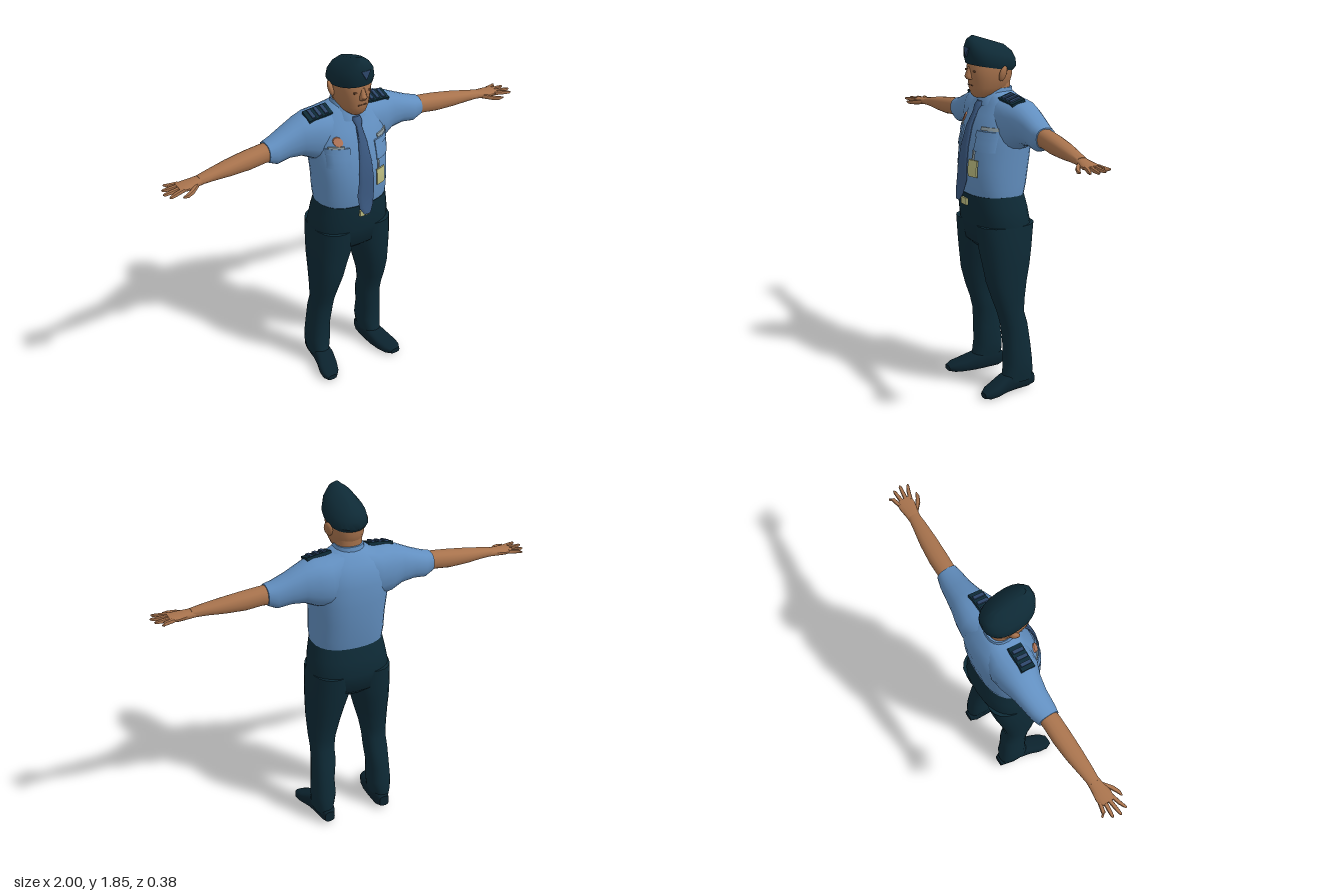
import * as THREE from 'three';
import { toCreasedNormals } from 'three/addons/utils/BufferGeometryUtils.js';

const material = (name, color) => Object.assign(new THREE.MeshStandardMaterial({ color }), { name });
const shirtBlue = material('shirt blue', 0x628fc0);
const navy = material('trouser navy', 0x0e2a36);
const shoeDark = material('shoe dark', 0x0b222d);
const skin = material('skin', 0xa8734d);
const tieBlue = material('tie blue', 0x3a5880);
const emblemBlue = material('emblem blue', 0x2c4568);
const cardYellow = material('card yellow', 0xbcbc80);
const badgeOrange = material('badge orange', 0xb87a5c);
const tagGrey = material('tag grey', 0x8b9aa0);
const browBrown = material('brow brown', 0x6e4830);

const POWER = 0.85;
const bend = (v, p) => Math.sign(v) * Math.pow(Math.abs(v), p);

// Skin over rounded cross-sections [t, a0, a1, b0, b1] placed along one axis.
// axis y: a = x, b = z;  axis x: a = y, b = z;  axis z: a = x, b = y
function loft(rings, axis = 'y', seg = 20, power = POWER) {
  const pos = [], idx = [], n = rings.length;
  const put = (t, a, b) => pos.push(...(axis === 'y' ? [a, t, b] : axis === 'x' ? [t, a, b] : [a, b, t]));
  const flip = (axis === 'y') !== (rings[n - 1][0] < rings[0][0]);
  const tri = (a, b, c) => idx.push(a, ...(flip ? [c, b] : [b, c]));
  for (const [t, a0, a1, b0, b1] of rings) {
    for (let j = 0; j < seg; j++) {
      const q = (j / seg) * Math.PI * 2;
      put(t, (a0 + a1) / 2 + bend(Math.cos(q), power) * Math.abs(a1 - a0) / 2,
        (b0 + b1) / 2 + bend(Math.sin(q), power) * Math.abs(b1 - b0) / 2);
    }
  }
  for (const i of [0, n - 1]) {
    const [t, a0, a1, b0, b1] = rings[i];
    put(t, (a0 + a1) / 2, (b0 + b1) / 2);
  }
  for (let j = 0; j < seg; j++) {
    const k = (j + 1) % seg;
    for (let i = 0; i < n - 1; i++) {
      const lo = i * seg, hi = lo + seg;
      tri(lo + j, lo + k, hi + k);
      tri(lo + j, hi + k, hi + j);
    }
    tri(n * seg, k, j);
    tri(n * seg + 1, (n - 1) * seg + j, (n - 1) * seg + k);
  }
  const geo = new THREE.BufferGeometry();
  geo.setAttribute('position', new THREE.Float32BufferAttribute(pos, 3));
  geo.setIndex(idx);
  return geo;
}

// Move every vertex by a rule
function reshape(geo, rule) {
  const p = geo.attributes.position, v = new THREE.Vector3();
  for (let i = 0; i < p.count; i++) {
    rule(v.fromBufferAttribute(p, i));
    p.setXYZ(i, v.x, v.y, v.z);
  }
  return geo;
}

const torsoRings = [
  [1.035, -0.185, 0.185, -0.145, 0.14], [1.1, -0.192, 0.192, -0.16, 0.152],
  [1.2, -0.192, 0.192, -0.176, 0.155], [1.3, -0.2, 0.2, -0.186, 0.142],
  [1.4, -0.2, 0.2, -0.188, 0.115], [1.46, -0.19, 0.19, -0.178, 0.085],
  [1.51, -0.165, 0.165, -0.155, 0.056], [1.545, -0.12, 0.12, -0.125, 0.04],
  [1.57, -0.07, 0.07, -0.1, 0.025],
];

// Depth of the shirt front at (x, y)
function chestZ(x, y) {
  const i = Math.max(1, torsoRings.findIndex(r => r[0] >= y));
  const lo = torsoRings[i - 1], hi = torsoRings[i];
  const f = Math.max(0, (y - lo[0]) / (hi[0] - lo[0]));
  const [, , rx, z0, z1] = lo.map((v, k) => v + (hi[k] - v) * f);
  const u = Math.min(1, Math.abs(x) / rx);
  return (z0 + z1) / 2 + (z1 - z0) / 2 * Math.pow(1 - Math.pow(u, 2 / POWER), POWER / 2);
}

export function createModel() {
  const model = new THREE.Group();
  model.name = 'officer';
  const add = (name, geo, mat, parent = model) => {
    const mesh = new THREE.Mesh(toCreasedNormals(geo, 0.8), mat);
    mesh.name = name;
    parent.add(mesh);
    return mesh;
  };
  // Thin plate that follows the chest
  const patch = (name, mat, x, y, w, h, lift) =>
    add(name, reshape(new THREE.BoxGeometry(w, h, 0.008, 4, 4, 1).translate(x, y, 0),
      v => { v.z += chestZ(v.x, v.y) + lift; }), mat);

  // Shirt, neck and trouser seat
  add('shirt', loft(torsoRings, 'y', 28), shirtBlue);
  add('collar', loft([[1.5, -0.1, 0.1, -0.12, 0.07], [1.55, -0.08, 0.08, -0.11, 0.055],
    [1.585, -0.07, 0.07, -0.105, 0.025]]), shirtBlue);
  add('neck', loft([[1.5, -0.065, 0.065, -0.09, 0.03], [1.63, -0.068, 0.068, -0.098, 0.04]]), skin);
  add('trouserSeat', loft([[0.75, -0.1, 0.1, -0.1, 0.06], [0.8, -0.2, 0.2, -0.158, 0.116],
    [0.9, -0.215, 0.215, -0.178, 0.134], [0.98, -0.202, 0.202, -0.166, 0.146],
    [1.055, -0.187, 0.187, -0.147, 0.147]], 'y', 28), navy);
  add('beltBuckle', new THREE.BoxGeometry(0.055, 0.035, 0.012).translate(-0.005, 1.012, 0.15), cardYellow);

  // Head with nose, ears, eyes and mouth
  add('head', loft([[1.54, -0.035, 0.035, 0.01, 0.092], [1.555, -0.055, 0.055, -0.05, 0.106],
    [1.59, -0.073, 0.073, -0.09, 0.117], [1.64, -0.084, 0.084, -0.105, 0.12],
    [1.69, -0.088, 0.088, -0.11, 0.126], [1.74, -0.08, 0.08, -0.1, 0.11]], 'y', 24), skin);
  add('nose', loft([[1.633, -0.018, 0.018, 0.1, 0.136], [1.648, -0.019, 0.019, 0.1, 0.147],
    [1.695, -0.009, 0.009, 0.1, 0.129]], 'y', 10), skin);
  add('mouth', new THREE.BoxGeometry(0.045, 0.005, 0.006).translate(0, 1.603, 0.117), browBrown);
  for (const s of [-1, 1]) {
    const ear = add('ear', new THREE.SphereGeometry(1, 12, 8), skin);
    ear.scale.set(0.014, 0.04, 0.026);
    ear.position.set(s * 0.096, 1.662, -0.015);
    ear.rotation.set(-0.15, s * 0.5, -s * 0.2);
    add('eye', new THREE.BoxGeometry(0.026, 0.008, 0.008).translate(s * 0.035, 1.675, 0.116), browBrown);
  }

  // Beret, rising towards the front
  add('beret', reshape(loft([[1.685, -0.093, 0.093, -0.108, 0.13], [1.712, -0.102, 0.102, -0.127, 0.138],
    [1.755, -0.09, 0.09, -0.127, 0.142], [1.79, -0.06, 0.06, -0.112, 0.132],
    [1.815, -0.022, 0.022, -0.07, 0.105]], 'y', 24),
  v => { v.y += v.z * (0.18 + (v.y - 1.685) * 1.1); }), navy);
  const emblem = add('beretEmblem', new THREE.CylinderGeometry(0.03, 0.03, 0.008, 3), emblemBlue);
  emblem.position.set(0.005, 1.775, 0.14);
  emblem.rotation.set(Math.PI / 2 - 0.1, 0, 0);

  // Tie with knot
  const tie = [[1.025, -0.03, 0.008, 0.182, 0.19], [1.06, -0.05, 0.028, 0.168, 0.182],
    [1.13, -0.056, 0.042, 0.153, 0.173], [1.2, -0.047, 0.042, 0.153, 0.172],
    [1.3, -0.036, 0.036, 0.14, 0.159], [1.4, -0.025, 0.025, 0.112, 0.133],
    [1.475, -0.015, 0.015, 0.075, 0.098], [1.5, -0.024, 0.024, 0.055, 0.09], [1.52, -0.02, 0.02, 0.05, 0.075]];
  add('tie', loft(tie, 'y', 12), tieBlue);

  // Chest details
  for (const s of [-1, 1]) {
    patch('pocket', shirtBlue, s * 0.125, 1.33, 0.1, 0.09, 0.001);
    patch('pocketFlap', shirtBlue, s * 0.125, 1.372, 0.106, 0.03, 0.005);
  }
  patch('nameTag', tagGrey, 0.135, 1.4, 0.08, 0.016, 0.003);
  patch('serviceTag', tagGrey, -0.13, 1.392, 0.07, 0.01, 0.003);
  const badge = new THREE.CylinderGeometry(0.022, 0.022, 0.008, 10).rotateX(Math.PI / 2).translate(-0.12, 1.42, 0);
  add('chestBadge', reshape(badge, v => { v.z += chestZ(v.x, v.y) + 0.003; }), badgeOrange);
  patch('identityCard', cardYellow, 0.088, 1.2, 0.055, 0.085, 0.012);
  patch('cardClip', tagGrey, 0.08, 1.265, 0.008, 0.05, 0.006);

  for (const s of [-1, 1]) {
    const side = s > 0 ? 'left' : 'right';
    const sweep = s > 0 ? 0.085 : 0.02;
    const arm = new THREE.Group();
    arm.name = side + 'Arm';
    model.add(arm);
    const limb = (name, rings, mat, seg) => add(name, loft(
      rings.map(([x, y0, y1, z, r]) => {
        const c = z + Math.max(0, x - 0.45) * sweep;
        return [s * x, y0, y1, c - r, c + r];
      }), 'x', seg), mat, arm);

    // Sleeve, forearm and palm: [x, bottom, top, z centre, half depth]
    limb('sleeve', [[0.06, 1.32, 1.565, -0.055, 0.1], [0.13, 1.29, 1.55, -0.055, 0.115],
      [0.2, 1.3, 1.548, -0.055, 0.105], [0.26, 1.33, 1.528, -0.06, 0.085], [0.33, 1.338, 1.495, -0.06, 0.072],
      [0.4, 1.328, 1.465, -0.055, 0.064], [0.445, 1.35, 1.452, -0.052, 0.054]], shirtBlue, 20);
    limb('forearm', [[0.4, 1.35, 1.45, -0.052, 0.046], [0.47, 1.353, 1.444, -0.05, 0.047],
      [0.55, 1.344, 1.435, -0.052, 0.048], [0.65, 1.345, 1.42, -0.052, 0.044],
      [0.74, 1.35, 1.404, -0.05, 0.036], [0.81, 1.35, 1.39, -0.05, 0.029]], skin, 16);
    limb('palm', [[0.79, 1.35, 1.39, -0.05, 0.03], [0.83, 1.348, 1.386, -0.05, 0.034],
      [0.88, 1.348, 1.38, -0.05, 0.043], [0.92, 1.352, 1.376, -0.052, 0.04]], skin, 14);
    for (let f = 0; f < 4; f++) {
      const tip = [0.965, 0.99, 1, 0.985][f], z = -0.083 + f * 0.021, spread = (f - 1.6) * 0.009;
      limb('finger', [[0.9, 1.354, 1.376, z, 0.011], [0.95, 1.352, 1.373, z + spread, 0.0105],
        [tip - 0.008, 1.355, 1.369, z + spread * 1.8, 0.008], [tip, 1.36, 1.365, z + spread * 2, 0.003]], skin, 8);
    }
    limb('thumb', [[0.825, 1.35, 1.376, -0.03, 0.015], [0.865, 1.345, 1.37, 0.003, 0.014],
      [0.9, 1.344, 1.364, 0.02, 0.011], [0.925, 1.35, 1.358, 0.024, 0.004]], skin, 8);

    // Shoulder board with ribs
    const board = new THREE.Group();
    board.name = side + 'ShoulderBoard';
    board.position.set(s * 0.165, 1.54, -0.025);
    board.rotation.set(0.3, 0, -s * 0.12);
    model.add(board);
    add('board', new THREE.BoxGeometry(0.13, 0.022, 0.075), navy, board);
    for (const x of [-0.035, 0, 0.035])
      add('rib', new THREE.BoxGeometry(0.018, 0.008, 0.06).translate(x, 0.014, 0), emblemBlue, board);

    // Trouser leg and shoe
    const mirror = rings => rings.map(([t, a, b, c, d]) => [t, s * a, s * b, c, d]);
    add(side + 'TrouserLeg', loft(mirror([[0.055, 0.122, 0.215, -0.145, 0.03], [0.1, 0.112, 0.222, -0.15, 0.018],
      [0.16, 0.1, 0.226, -0.146, 0.01], [0.25, 0.104, 0.22, -0.136, 0.012], [0.36, 0.09, 0.215, -0.122, 0.02],
      [0.43, 0.089, 0.212, -0.102, 0.038], [0.5, 0.08, 0.216, -0.105, 0.064], [0.6, 0.055, 0.22, -0.122, 0.094],
      [0.69, 0.032, 0.222, -0.142, 0.107], [0.78, 0.004, 0.222, -0.158, 0.12],
      [0.9, 0, 0.214, -0.174, 0.132]])), navy);
    add(side + 'Shoe', loft(mirror([[-0.157, 0.135, 0.19, 0.015, 0.075], [-0.12, 0.12, 0.2, 0.004, 0.1],
      [-0.04, 0.116, 0.21, 0.003, 0.11], [0.02, 0.118, 0.222, 0.002, 0.092], [0.08, 0.132, 0.242, 0, 0.064],
      [0.125, 0.15, 0.246, 0, 0.05], [0.156, 0.178, 0.232, 0.006, 0.034]]), 'z', 18, 0.65), shoeDark);
  }
  return model;
}
